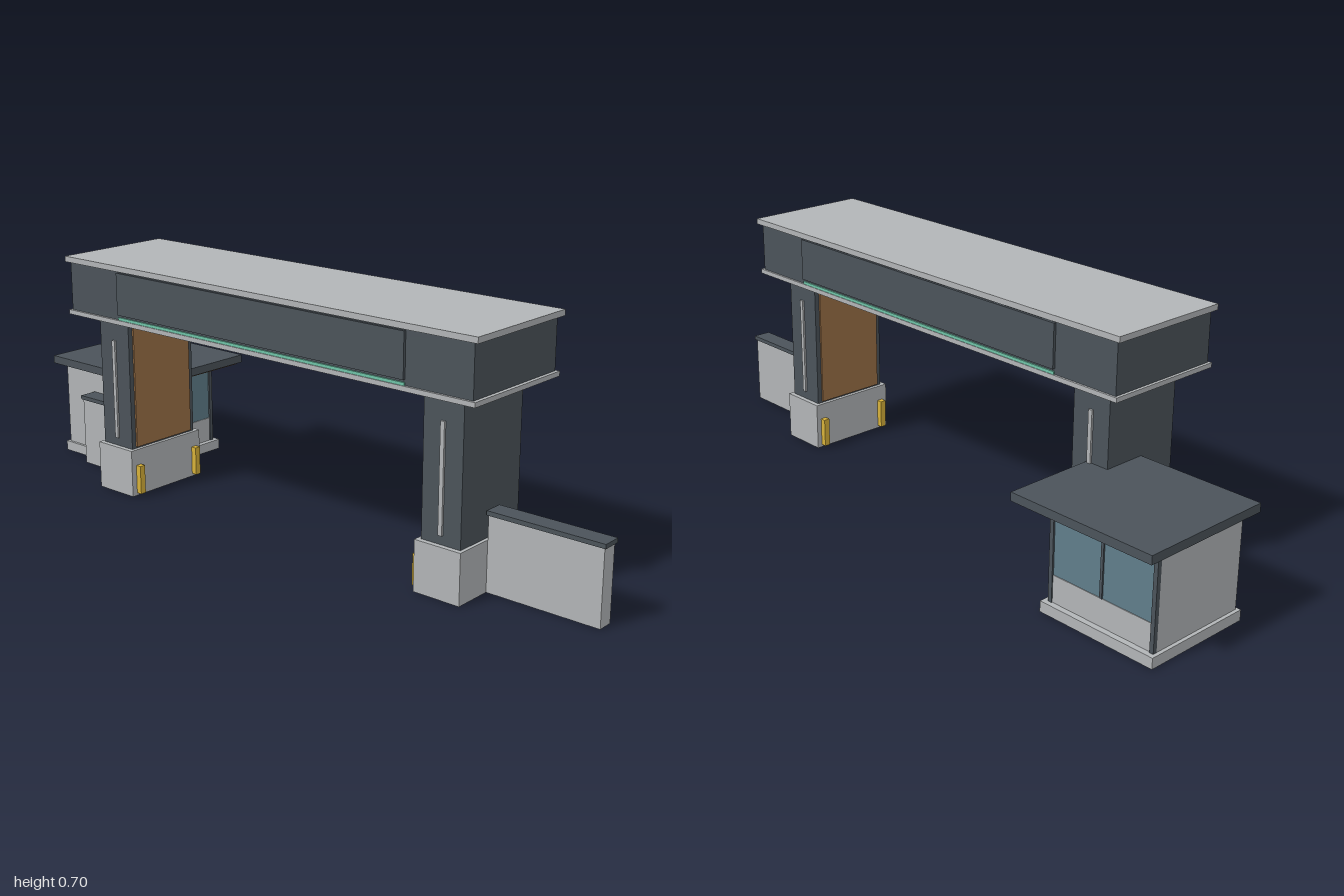
import * as THREE from 'three';

const mat = (name, color) => Object.assign(new THREE.MeshStandardMaterial({ color }), { name });

export function createModel() {
  const stone = mat('pale stone', 0xb2b5b7);
  const slate = mat('dark slate', 0x4b535a);
  const wood = mat('timber', 0x9c7147);
  const glass = mat('window glass', 0x607d8a);
  const yellow = mat('safety yellow', 0xd8b23a);
  const teal = mat('teal light strip', 0x6fc4a8);
  const black = mat('dark batten', 0x33302d);

  const root = new THREE.Group();
  root.name = 'entranceGate';

  // Box given by its limits on each axis
  const box = (parent, name, m, [x0, x1], [y0, y1], [z0, z1]) => {
    const mesh = new THREE.Mesh(new THREE.BoxGeometry(x1 - x0, y1 - y0, z1 - z0), m);
    mesh.position.set((x0 + x1) / 2, (y0 + y1) / 2, (z0 + z1) / 2);
    mesh.name = name;
    parent.add(mesh);
    return mesh;
  };
  const group = (name) => {
    const g = new THREE.Group();
    g.name = name;
    root.add(g);
    return g;
  };
  const CX = 0.015; // middle of the gate opening
  const CZ = 0.1025; // middle of the gate depth

  // Overhead beam with its roof and lower ledge
  const beam = group('overheadBeam');
  box(beam, 'beamRoof', stone, [-0.703, 0.733], [0.68, 0.696], [-0.081, 0.286]);
  box(beam, 'beamBody', slate, [-0.69, 0.718], [0.54, 0.68], [-0.071, 0.276]);
  box(beam, 'beamLedge', stone, [-0.698, 0.728], [0.527, 0.54], [-0.077, 0.283]);
  for (const s of [1, -1]) {
    const span = (a, b) => [CZ + s * a, CZ + s * b].sort((p, q) => p - q);
    box(beam, 'fasciaPanel', slate, [-0.49, 0.52], [0.555, 0.675], span(0.173, 0.181));
    box(beam, 'lightStrip', teal, [-0.49, 0.52], [0.54, 0.548], span(0.173, 0.178));
  }

  // Timber soffit with battens and downlights
  const soffit = group('soffit');
  box(soffit, 'soffitBoard', wood, [-0.505, 0.535], [0.523, 0.528], [-0.043, 0.25]);
  for (let i = 0; i < 9; i++) {
    const x = CX + (i - 4) * 0.108;
    box(soffit, 'soffitBatten', black, [x - 0.008, x + 0.008], [0.519, 0.524], [-0.035, 0.24]);
  }
  for (let i = 0; i < 5; i++) {
    const x = CX + (i - 2) * 0.19;
    box(soffit, 'downlight', wood, [x - 0.025, x + 0.025], [0.517, 0.524], [CZ - 0.018, CZ + 0.018]);
  }

  // Pillars, mirrored about the opening
  for (const s of [-1, 1]) {
    const pillar = group(s > 0 ? 'leftPillar' : 'rightPillar');
    const xs = (a, b) => [CX + s * a, CX + s * b].sort((p, q) => p - q);
    box(pillar, 'plinth', stone, xs(0.515, 0.655), [0, 0.14], [-0.034, 0.241]);
    box(pillar, 'shaft', slate, xs(0.526, 0.645), [0.14, 0.527], [-0.02, 0.227]);
    box(pillar, 'timberPanel', wood, xs(0.521, 0.527), [0.145, 0.523], [-0.005, 0.212]);
    for (const z of [[0.226, 0.233], [-0.026, -0.019]]) {
      box(pillar, 'verticalStrip', stone, xs(0.58, 0.592), [0.165, 0.458], z);
    }
    for (const z of [-0.01, 0.215]) {
      box(pillar, 'cornerGuard', yellow, xs(0.498, 0.516), [0.008, 0.093], [z - 0.009, z + 0.009]);
    }
  }

  // Low side walls with copings
  const walls = group('sideWalls');
  for (const [a, b, c, d] of [[-0.842, -0.64, -0.847, -0.64], [0.67, 0.995, 0.667, 1]]) {
    box(walls, 'wall', stone, [a, b], [0, 0.206], [0.081, 0.126]);
    box(walls, 'coping', slate, [c, d], [0.206, 0.218], [0.076, 0.131]);
  }

  // Guard booth: solid front and outer side, glazed back and inner side
  const booth = group('guardBooth');
  const X0 = -0.975, X1 = -0.64, Z0 = -0.232, Z1 = 0.075;
  box(booth, 'boothFloor', stone, [-0.985, -0.627], [0, 0.03], [-0.246, 0.083]);
  box(booth, 'frontWall', stone, [X0, X1], [0.03, 0.285], [Z1 - 0.015, Z1]);
  box(booth, 'outerWall', stone, [X0, X0 + 0.015], [0.03, 0.285], [Z0 + 0.012, Z1 - 0.015]);
  box(booth, 'backSill', stone, [X0 + 0.012, X1 - 0.012], [0.03, 0.105], [Z0 + 0.003, Z0 + 0.015]);
  box(booth, 'innerSill', stone, [X1 - 0.015, X1 - 0.003], [0.03, 0.105], [Z0 + 0.012, Z1 - 0.015]);
  box(booth, 'backGlass', glass, [X0 + 0.012, X1 - 0.012], [0.105, 0.285], [Z0 + 0.005, Z0 + 0.012]);
  box(booth, 'innerGlass', glass, [X1 - 0.012, X1 - 0.005], [0.105, 0.285], [Z0 + 0.012, Z1 - 0.015]);
  for (const x of [X0, X1 - 0.012]) {
    box(booth, 'cornerPost', slate, [x, x + 0.012], [0.03, 0.285], [Z0, Z0 + 0.012]);
  }
  const mx = (X0 + X1) / 2;
  box(booth, 'backMullion', slate, [mx - 0.004, mx + 0.004], [0.105, 0.285], [Z0 + 0.001, Z0 + 0.012]);
  box(booth, 'innerMullion', slate, [X1 - 0.012, X1 - 0.001], [0.105, 0.285], [-0.079, -0.071]);
  box(booth, 'boothSoffit', wood, [-0.988, -0.572], [0.284, 0.29], [-0.276, 0.093]);
  box(booth, 'boothRoof', slate, [-1, -0.56], [0.29, 0.314], [-0.287, 0.107]);

  return root;
}
